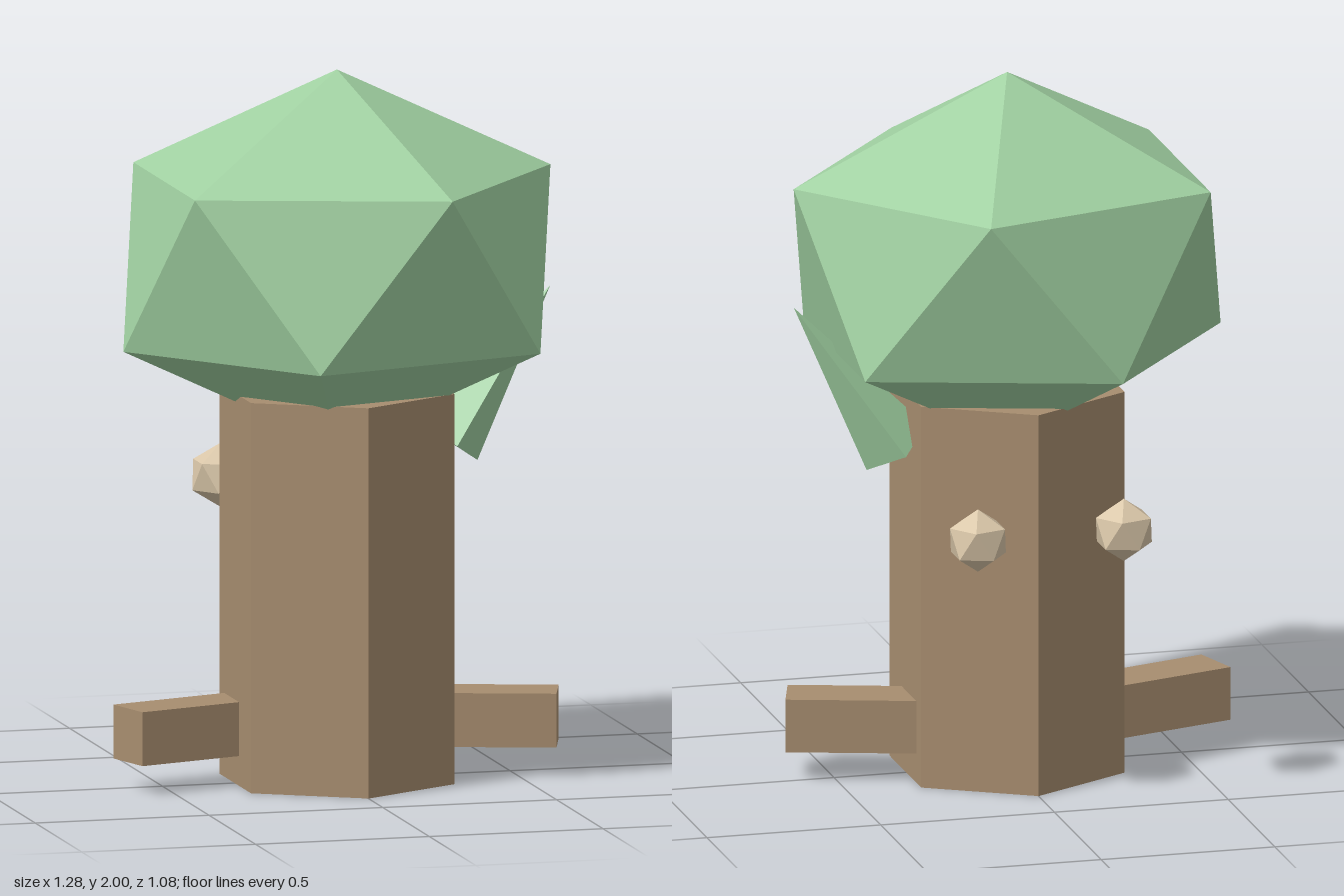
import * as THREE from 'three';

const flat = (name, color) => {
  const m = new THREE.MeshStandardMaterial({ color });
  m.flatShading = true;
  m.name = name;
  return m;
};

export function createModel() {
  const model = new THREE.Group();
  model.name = 'treeFigure';
  const bark = flat('bark', 0xa78d6f);
  const leaf = flat('leaf', 0xa0d0a1);
  const pale = flat('paleBeige', 0xd9c6a8);

  const add = (name, geometry, material, x, y, z) => {
    const mesh = new THREE.Mesh(geometry, material);
    mesh.name = name;
    mesh.position.set(x, y, z);
    model.add(mesh);
    return mesh;
  };

  // Icosahedron standing on a corner, with an upper ring corner towards +x
  const gem = (rx, ry, rz) => {
    const g = new THREE.IcosahedronGeometry(1, 0);
    g.rotateZ(-Math.atan(2 / (1 + Math.sqrt(5))));
    return g.scale(rx, ry, rz);
  };

  // Six-sided trunk and faceted crown
  add('trunk', new THREE.CylinderGeometry(0.338, 0.338, 1.1, 6), bark, 0, 0.55, 0.008);
  add('crown', gem(0.687, 0.5315, 0.629), leaf, 0, 1.4685, 0.007);

  // Single pointed leaf on the left side, leaning outwards
  const base = new THREE.Vector3(0.32, 0.94, 0.003);
  const tip = new THREE.Vector3(0.615, 1.365, 0.003);
  const axis = tip.clone().sub(base);
  const mid = base.clone().add(tip).multiplyScalar(0.5);
  const sprout = add('leafSprout', new THREE.ConeGeometry(0.104, axis.length(), 4),
    leaf, mid.x, mid.y, mid.z);
  sprout.rotation.z = -Math.atan2(axis.x, axis.y);

  for (const side of [1, -1]) {
    const label = side > 0 ? 'left' : 'right';
    // Square branch, angled towards the front
    const length = 0.5, angle = 0.3;
    const arm = add(label + 'Branch', new THREE.BoxGeometry(length, 0.152, 0.152), bark,
      side * (0.618 - Math.cos(angle) * length / 2), 0.16,
      0.07 - Math.sin(angle) * length / 2);
    arm.rotation.y = -side * angle;
    // Small ball floating behind the trunk
    add(label + 'Ball', gem(0.09, 0.09, 0.09), pale, side * 0.21, 0.79, -0.462);
  }
  return model;
}
